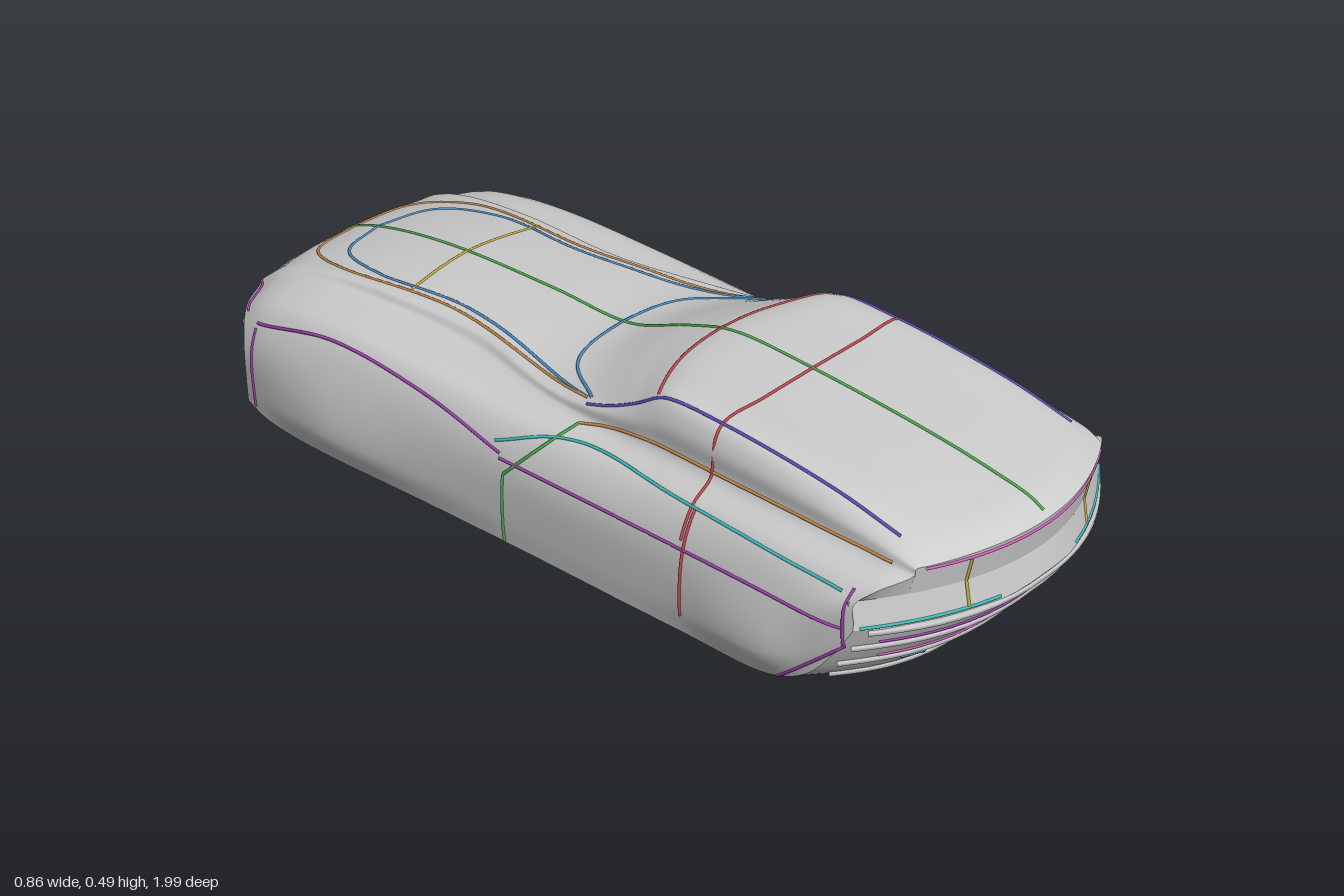
import * as THREE from 'three';

const V = (x, y, z) => new THREE.Vector3(x, y, z);
const mat = (color) => new THREE.MeshStandardMaterial({ color, roughness: 0.7 });
const GREY = 0xcccccc, RED = 0xc04850, GREEN = 0x4cae50, BLUE = 0x4a90c8, PURPLE = 0xa040b0,
  CYAN = 0x40c0c0, GOLD = 0xc8b040, ORANGE = 0xc88a48, PINK = 0xd860c0, INDIGO = 0x6050c0;

// Stations, tail to nose: z, roof y, roof edge x/y, belt x/y, shoulder x/y, crease x, flank x, floor y
const STATIONS = [
  [0.995, 0.385, 0.27, 0.378, 0.3, 0.362, 0.36, 0.34, 0.395, 0.395, 0.245],
  [0.95, 0.41, 0.27, 0.4, 0.31, 0.368, 0.36, 0.338, 0.4, 0.405, 0.18],
  [0.86, 0.43, 0.27, 0.422, 0.31, 0.37, 0.362, 0.338, 0.405, 0.415, 0.09],
  [0.72, 0.452, 0.275, 0.447, 0.31, 0.372, 0.367, 0.335, 0.405, 0.43, 0.035],
  [0.4, 0.482, 0.275, 0.477, 0.305, 0.372, 0.362, 0.33, 0.4, 0.408, 0.022],
  [0.2, 0.486, 0.27, 0.477, 0.3, 0.367, 0.36, 0.325, 0.4, 0.405, 0.02],
  [0.08, 0.452, 0.268, 0.436, 0.3, 0.362, 0.36, 0.323, 0.4, 0.405, 0.02],
  [-0.08, 0.395, 0.25, 0.378, 0.29, 0.357, 0.357, 0.325, 0.4, 0.405, 0.018],
  [-0.3, 0.397, 0.18, 0.386, 0.24, 0.357, 0.352, 0.337, 0.4, 0.413, 0.01],
  [-0.6, 0.39, 0.19, 0.38, 0.24, 0.36, 0.352, 0.34, 0.405, 0.43, 0.004],
  [-0.8, 0.362, 0.19, 0.355, 0.25, 0.345, 0.352, 0.325, 0.405, 0.42, 0.008],
  [-0.92, 0.325, 0.19, 0.32, 0.26, 0.312, 0.352, 0.3, 0.402, 0.408, 0.022],
  [-0.99, 0.275, 0.2, 0.272, 0.27, 0.27, 0.355, 0.265, 0.397, 0.4, 0.045],
];

// Half section from roof centre to sill (index SILL), then along the floor to its centre
const SILL = 8;
function section([z, top, rx, ry, bx, by, sx, sy, w, m, bot]) {
  const lerp = (t) => bot + (sy - bot) * t;
  return [
    V(0, top, z), V(rx * 0.55, top - (top - ry) * 0.3, z), V(rx, ry, z),
    V((rx + bx) / 2 + 0.012, (ry + by) / 2 + 0.006, z), V(bx, by, z), V(sx, sy, z), V(w, lerp(0.74), z),
    V(m, lerp(0.32), z), V(w, lerp(0.11), z), V(0.25, bot, z), V(0, bot + 0.012, z),
  ];
}

// Plan curves of the two end faces
const tailCurve = (x) => x * x;
const noseCurve = (x) => 2.1 * Math.abs(x) ** 3;

// Bow the sections so tail, nose and windscreen curve in plan, and tuck the chin under
function bow(p) {
  const x = Math.abs(p.x), t = Math.min(1, Math.max(0, (Math.abs(p.z) - 0.4) / 0.6));
  const end = (p.z > 0 ? tailCurve(x) : noseCurve(x)) * t ** 1.3;
  const screen = 1.3 * Math.min(x, 0.28) ** 2 * Math.exp(-(((p.z - 0.05) / 0.2) ** 2));
  const chin = p.z < 0 ? 0.2 * t ** 4 * Math.max(0, 0.25 - p.y) * (1 - Math.min(1, x / 0.4) ** 2) : 0;
  return V(p.x, p.y, p.z - Math.sign(p.z) * end + screen + chin);
}

const sample = (pts, steps) => {
  const curve = new THREE.CatmullRomCurve3(pts, false, 'centripetal');
  return Array.from({ length: steps + 1 }, (_, i) => curve.getPoint(i / steps));
};
const mirrorBack = (pts) => pts.map((p) => V(-p.x, p.y, p.z)).reverse();

// Strips of points across the body: one over the top, one under the floor
function bodyRows(lengthSteps) {
  const sections = STATIONS.map(section);
  const columns = sections[0].map((_, k) => sample(sections.map((s) => s[k]), lengthSteps));
  const upper = [], floor = [];
  for (let i = 0; i <= lengthSteps; i++) {
    const pts = columns.map((c) => c[i]);
    const side = sample(pts.slice(0, SILL + 1), 40).map(bow);
    const under = sample(pts.slice(SILL), 12).map(bow);
    upper.push([...mirrorBack(side), ...side.slice(1)]);
    floor.push([...under, ...mirrorBack(under).slice(1)]);
  }
  return { upper, floor };
}

// Skin strips, or closed rings, that run from tail to nose
function skin(rows, closed = false) {
  const n = rows[0].length, index = [];
  for (let i = 0; i < rows.length - 1; i++) {
    for (let j = 0; j < (closed ? n : n - 1); j++) {
      const a = i * n + j, b = i * n + ((j + 1) % n);
      index.push(a, b, a + n, b, b + n, a + n);
    }
  }
  const geo = new THREE.BufferGeometry().setFromPoints(rows.flat());
  geo.setIndex(index);
  geo.computeVertexNormals();
  return geo;
}

export function createModel() {
  const car = new THREE.Group();
  car.name = 'car';
  const add = (name, geo, color = GREY) => {
    const mesh = new THREE.Mesh(geo, mat(color));
    mesh.name = name;
    car.add(mesh);
    return mesh;
  };

  // Shell, floor and end panels
  const { upper, floor } = bodyRows(96);
  const ring = (i) => [...upper.at(i), ...floor.at(i).slice(1, -1)];
  const tail = ring(0), nose = ring(-1);
  const tailSeam = tail.map((p) => V(p.x, 0.315, 0.982 - tailCurve(p.x)));
  const noseSeam = nose.map((p) => V(p.x, 0.19, -0.987 + noseCurve(p.x)));
  const shell = [
    add('bodyShell', skin(upper)),
    add('floor', skin(floor)),
    add('tailPanel', skin([tailSeam, tail], true)),
    add('nosePanel', skin([nose, noseSeam], true)),
  ];
  shell.forEach((m) => m.updateMatrixWorld());

  // Lay a tube on the shell along a flat path seen from one direction
  const ray = new THREE.Raycaster();
  const PROJECT = {
    top: [(a, b) => V(a, 2, b), V(0, -1, 0)],
    under: [(a, b) => V(a, -2, b), V(0, 1, 0)],
    left: [(a, b) => V(2, b, a), V(-1, 0, 0)],
    rear: [(a, b) => V(a, b, 3), V(0, 0, -1)],
    nose: [(a, b) => V(a, b, -3), V(0, 0, 1)],
  };
  function drape(name, from, points, color, { r = 0.0035, mirror = false, curved = false } = {}) {
    const flatPts = points.map(([a, b]) => V(a, b, 0));
    let path;
    if (curved) path = new THREE.CatmullRomCurve3(flatPts, false, 'centripetal');
    else {
      path = new THREE.CurvePath();
      for (let i = 1; i < flatPts.length; i++) path.add(new THREE.LineCurve3(flatPts[i - 1], flatPts[i]));
    }
    const [origin, dir] = PROJECT[from];
    const hits = [];
    for (let i = 0; i <= 80; i++) {
      const p = path.getPoint(i / 80);
      ray.set(origin(p.x, p.y), dir);
      const hit = ray.intersectObjects(shell)[0];
      if (hit) hits.push(hit.point.clone());
    }
    if (hits.length < 2) return;
    for (const s of mirror ? [1, -1] : [1]) {
      const curve = new THREE.CatmullRomCurve3(hits.map((p) => V(p.x * s, p.y, p.z)), false, 'centripetal');
      add(name, new THREE.TubeGeometry(curve, 80, r, 6), color);
    }
  }
  const both = { mirror: true }, bothCurved = { mirror: true, curved: true };

  // Centre lines and cross lines
  drape('roofCentreLine', 'top', [[0, 0.98], [0, -0.96]], GREEN);
  drape('roofCrossLine', 'top', [[-0.395, 0.41], [0.395, 0.41]], RED);
  drape('floorCentreLine', 'under', [[0, 0.75], [0, -0.9]], RED);
  for (const z of [0.41, -0.07]) drape('floorCrossLine', 'under', [[-0.39, z], [0.39, z]], GREEN);
  drape('floorEdge', 'under', [[0.393, 0.66], [0.393, -0.82]], GOLD, both);

  // Windscreen, roof edges and bonnet outline
  drape('windscreenTop', 'top', [[-0.27, 0.24], [-0.14, 0.185], [0, 0.17], [0.14, 0.185], [0.27, 0.24]], RED, { curved: true });
  drape('windscreenBase', 'top', [[-0.27, 0.06], [-0.17, -0.07], [0, -0.1], [0.17, -0.07], [0.27, 0.06]], BLUE, { curved: true });
  drape('roofEdge', 'top', [[0.272, 0.85], [0.274, 0.25], [0.285, 0.06]], INDIGO, both);
  drape('bonnetBulge', 'top', [[0.27, 0.05], [0.2, -0.2], [0.17, -0.4], [0.18, -0.65], [0.13, -0.8], [0, -0.845]], BLUE, bothCurved);
  drape('bonnetEdge', 'top', [[0.27, 0.05], [0.22, -0.2], [0.19, -0.4], [0.2, -0.75], [0.14, -0.89], [0, -0.92]], ORANGE, bothCurved);
  drape('bonnetCrossLine', 'top', [[-0.19, -0.54], [0, -0.56], [0.19, -0.54]], GOLD, { curved: true });

  // Flank lines
  drape('beltLine', 'left', [[0.86, 0.375], [0.5, 0.38], [0.2, 0.375], [0.06, 0.35]], ORANGE, bothCurved);
  drape('shoulderLine', 'left', [[0.8, 0.32], [0.4, 0.33], [0.05, 0.33], [-0.1, 0.28]], CYAN, bothCurved);
  drape('wingLine', 'left', [[-0.08, 0.26], [-0.3, 0.3], [-0.6, 0.315], [-0.83, 0.27]], PURPLE, bothCurved);
  drape('creaseLine', 'left', [[0.82, 0.255], [0.4, 0.25], [-0.08, 0.25]], PURPLE, both);
  drape('doorFrontLine', 'left', [[-0.07, 0.05], [-0.065, 0.22], [0.06, 0.35]], GREEN, both);
  drape('doorRearLine', 'left', [[0.42, 0.1], [0.42, 0.33]], RED, both);
  drape('tailCornerLine', 'left', [[0.82, 0.33], [0.82, 0.21], [0.67, 0.075]], PURPLE, both);
  drape('noseCornerLine', 'left', [[-0.83, 0.07], [-0.83, 0.26]], PURPLE, both);

  // Tail: stepped bumper layers, plate recess frame and trim
  for (const [y, w] of [[0.245, 0.37], [0.2, 0.38], [0.15, 0.38], [0.1, 0.36]])
    drape('rearBumperLayer', 'rear', [[-w, y], [w, y]], GREY, { r: 0.008 });
  drape('plateTop', 'rear', [[-0.28, 0.372], [0.28, 0.372]], PINK);
  drape('plateSide', 'rear', [[0.19, 0.37], [0.19, 0.26]], GOLD, both);
  drape('tailLightBase', 'rear', [[0.12, 0.258], [0.385, 0.258]], CYAN, both);
  drape('rearBumperTop', 'rear', [[-0.34, 0.212], [0.34, 0.212]], PURPLE);
  drape('rearBumperBase', 'rear', [[-0.32, 0.162], [0.32, 0.162]], PINK);
  drape('exhaustTrim', 'rear', [[0.16, 0.07], [0.2, 0.12], [0.26, 0.13]], BLUE, both);

  // Nose: bumper layers and grille trim
  for (const y of [0.24, 0.13]) drape('frontBumperLayer', 'nose', [[-0.37, y], [0.37, y]], GREY, { r: 0.008 });
  drape('grilleTop', 'nose', [[-0.3, 0.22], [0.3, 0.22]], CYAN);
  drape('grilleBase', 'nose', [[-0.3, 0.11], [0.3, 0.11]], GREEN);
  drape('grilleCentre', 'nose', [[0, 0.25], [0, 0.1]], GREEN);
  drape('grilleSide', 'nose', [[0.2, 0.23], [0.2, 0.11]], GOLD, both);
  drape('headlampRim', 'nose', [[0.25, 0.275], [0.31, 0.285], [0.36, 0.27]], PURPLE, bothCurved);

  return car;
}
